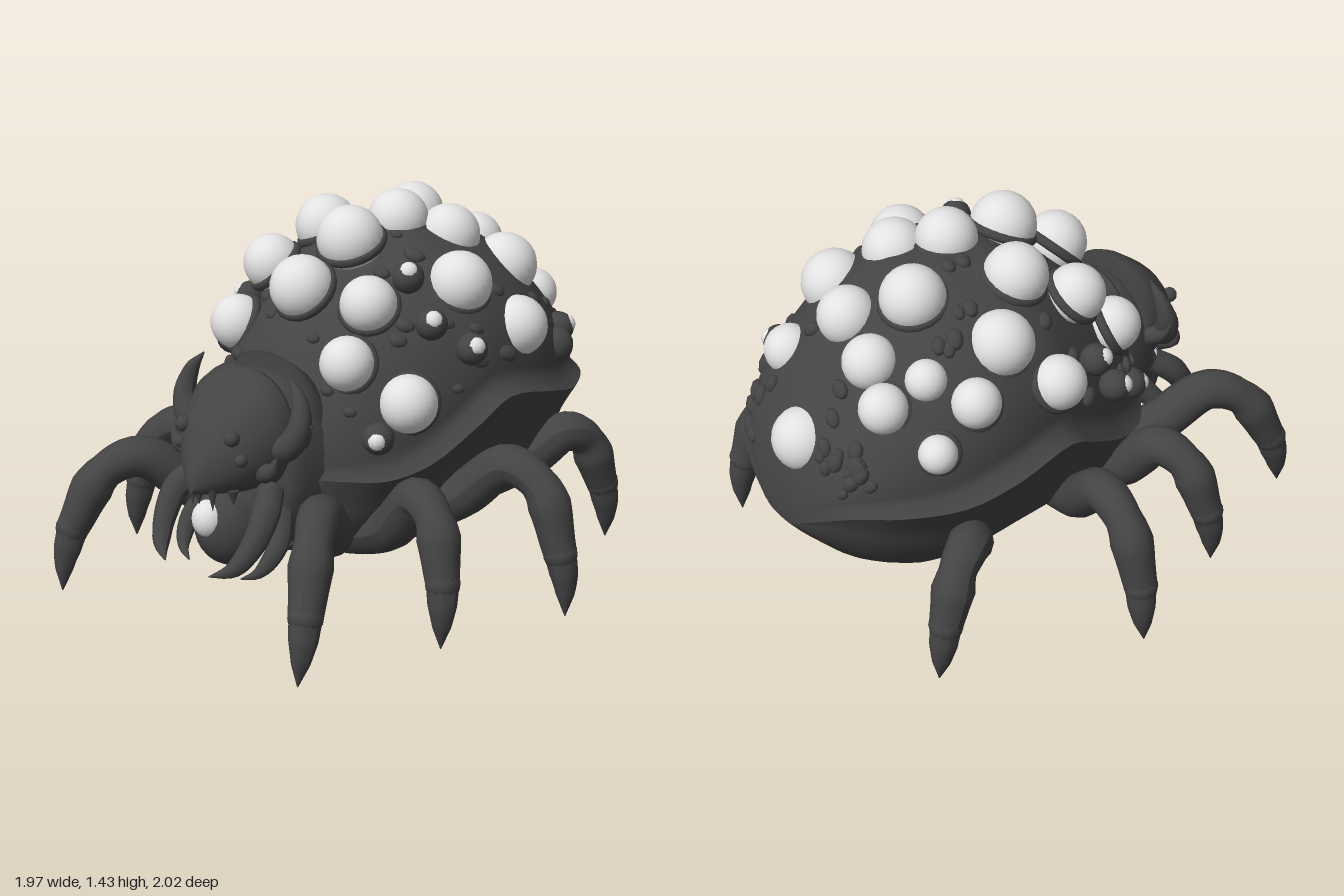
import * as THREE from 'three';

const dark = new THREE.MeshStandardMaterial({ color: 0x444444 });
dark.name = 'charcoal hide';
const pale = new THREE.MeshStandardMaterial({ color: 0xe2e2e2 });
pale.name = 'pale egg';
const V = (x, y, z) => new THREE.Vector3(x, y, z);

function add(parent, name, geometry, material = dark) {
  const mesh = new THREE.Mesh(geometry, material);
  mesh.name = name;
  parent.add(mesh);
  return mesh;
}

// Skin over rows of points running from +z to -z, each counter-clockwise from the front.
// Both ends close on the point midway between the row's first and last points.
function loft(rows) {
  const cap = row => row.map(() => row[0].clone().add(row[row.length - 1]).multiplyScalar(0.5));
  const all = [cap(rows[0]), ...rows, cap(rows[rows.length - 1])];
  const n = all[0].length, index = [];
  for (let i = 0; i < all.length - 1; i++) {
    for (let j = 0; j < n - 1; j++) {
      const a = i * n + j, c = a + n;
      index.push(a, c, a + 1, a + 1, c, c + 1);
    }
  }
  const g = new THREE.BufferGeometry().setFromPoints(all.flat());
  g.setIndex(index);
  g.computeVertexNormals();
  return g;
}

// Tube along a smooth path whose radius follows a list of values
function taper(points, radii, segments = 24, sides = 12) {
  const curve = new THREE.CatmullRomCurve3(points.map(p => V(...p)));
  const g = new THREE.TubeGeometry(curve, segments, 1, sides);
  const pos = g.attributes.position, v = V(0, 0, 0);
  for (let i = 0; i <= segments; i++) {
    const c = curve.getPointAt(i / segments);
    const t = i / segments * (radii.length - 1), k = Math.min(Math.floor(t), radii.length - 2);
    const r = THREE.MathUtils.lerp(radii[k], radii[k + 1], t - k);
    for (let j = 0; j <= sides; j++) {
      const m = i * (sides + 1) + j;
      v.fromBufferAttribute(pos, m).sub(c).multiplyScalar(r).add(c);
      pos.setXYZ(m, v.x, v.y, v.z);
    }
  }
  g.computeVertexNormals();
  return g;
}

// Abdomen stations: z, half width, rim height, top height, bottom height
const stations = [
  [0.50, 0.26, 0.53, 0.76, 0.20], [0.45, 0.34, 0.53, 0.86, 0.18], [0.35, 0.45, 0.53, 1.02, 0.16],
  [0.20, 0.53, 0.57, 1.15, 0.13], [0.00, 0.59, 0.68, 1.28, 0.12], [-0.15, 0.62, 0.76, 1.33, 0.11],
  [-0.40, 0.63, 0.72, 1.31, 0.12], [-0.60, 0.58, 0.67, 1.20, 0.15], [-0.80, 0.47, 0.66, 1.01, 0.26],
  [-0.92, 0.34, 0.64, 0.84, 0.38], [-0.98, 0.20, 0.57, 0.68, 0.45], [-1.00, 0.10, 0.51, 0.56, 0.48],
];
const axis = new THREE.CatmullRomCurve3(stations.map(s => V(s[0], s[1], s[2])));
const heights = new THREE.CatmullRomCurve3(stations.map(s => V(s[3], s[4], 0)));
const station = u => {
  const p = axis.getPoint(u), q = heights.getPoint(u);
  return { z: Math.max(p.x, -1), w: p.y, rim: p.z, top: q.x, low: q.y };
};
const shellPoint = (s, a) =>
  V(0.89 * s.w * Math.cos(a), s.rim + 0.03 + (s.top - s.rim - 0.03) * Math.sin(a), s.z);

function buildBody(body) {
  const shell = [], belly = [], rings = 44;
  const side = [[1, 1], [0.86, 0.74], [0.77, 0.5], [0.6, 0.25], [0.33, 0.06], [0, 0]];
  const profile = new THREE.SplineCurve(
    [...side.map(p => [-p[0], p[1]]), ...side.slice(0, -1).reverse()].map(p => new THREE.Vector2(...p))).getPoints(30);
  for (let i = 0; i <= rings; i++) {
    const s = station(i / rings), row = [V(s.w, s.rim, s.z)];
    for (let k = 0; k <= 32; k++) row.push(shellPoint(s, k / 32 * Math.PI));
    row.push(V(-s.w, s.rim, s.z));
    shell.push(row);
    belly.push(profile.map(p => V(p.x * s.w, s.low + p.y * (s.rim - s.low), s.z)));
  }
  add(body, 'shell', loft(shell));
  add(body, 'belly', loft(belly));
}

// Eggs: x, y, z, radius
const eggs = [
  [-0.01, 0.79, -0.885, 0.12], [-0.28, 1.00, -0.73, 0.09], [-0.48, 0.88, -0.65, 0.07], [-0.14, 1.10, -0.68, 0.10],
  [-0.33, 1.08, -0.58, 0.075], [0.07, 1.16, -0.62, 0.11], [0.27, 0.96, -0.74, 0.095],
  [-0.12, 1.27, -0.47, 0.12], [0.31, 1.13, -0.50, 0.125], [-0.47, 1.01, -0.47, 0.09], [-0.39, 1.14, -0.29, 0.12],
  [0.18, 1.26, -0.32, 0.12], [0.49, 0.96, -0.35, 0.115]].concat([
  [-0.53, 0.98, -0.14, 0.10], [0.04, 1.325, -0.19, 0.115], [-0.24, 1.27, -0.10, 0.12],
  [0.38, 1.15, -0.14, 0.12], [0.02, 1.295, 0.06, 0.125], [-0.33, 1.15, 0.11, 0.11], [-0.02, 1.15, 0.28, 0.12],
  [0.24, 1.12, 0.21, 0.105], [-0.35, 0.95, 0.28, 0.105], [0.26, 0.935, 0.35, 0.10], [0.44, 0.79, 0.22, 0.107]]);
// Half-closed pods with a small egg inside
const pods = [
  [0.42, 1.05, 0.07], [0.52, 0.95, -0.04], [0.30, 1.20, 0.06], [0.40, 0.68, 0.34],
  [-0.50, 0.97, 0.06], [-0.51, 0.82, 0.15], [-0.40, 0.68, 0.34], [0.45, 0.87, -0.67],
];
const heart = V(0, 0.62, -0.25);
const outward = p => p.clone().sub(heart).normalize();

function buildEggs(body) {
  for (const [x, y, z, r] of eggs) {
    const p = V(x, y, z), n = outward(p);
    add(body, 'egg', new THREE.SphereGeometry(r, 24, 16), pale).position.copy(p);
    const socket = add(body, 'eggSocket', new THREE.TorusGeometry(r * 0.94, 0.02, 8, 20));
    socket.position.copy(p).addScaledVector(n, -0.022);
    socket.quaternion.setFromUnitVectors(V(0, 0, 1), n);
  }
  for (const c of pods) {
    const p = V(...c), n = outward(p);
    add(body, 'pod', new THREE.SphereGeometry(0.06, 14, 10)).position.copy(p);
    add(body, 'podEgg', new THREE.SphereGeometry(0.037, 12, 8), pale).position.copy(p).addScaledVector(n, 0.031);
  }
  add(body, 'closedPod', new THREE.SphereGeometry(0.07, 16, 12)).position.set(0.48, 0.82, -0.61);

  // Warts scattered between the eggs
  let seed = 7;
  const rand = () => (seed = (seed * 16807) % 2147483647) / 2147483647;
  for (let i = 0; i < 130; i++) {
    const p = shellPoint(station(0.12 + 0.74 * rand()), Math.PI * (0.06 + 0.88 * rand()));
    const size = 0.02 + 0.016 * rand();
    if (eggs.some(e => p.distanceTo(V(e[0], e[1], e[2])) < e[3] + size)) continue;
    const wart = add(body, 'wart', new THREE.SphereGeometry(size, 8, 6));
    wart.position.copy(p);
    wart.quaternion.setFromUnitVectors(V(0, 0, 1), outward(p));
    wart.scale.set(1.3, 0.9, 0.7);
  }
}

// Rounded section rows for the head: z, half width, top, bottom
const ovals = list => loft(list.map(([z, w, top, low]) => Array.from({ length: 29 }, (_, k) => {
  const a = -Math.PI / 2 + k / 28 * Math.PI * 2, c = Math.cos(a);
  return V(w * Math.sign(c) * Math.abs(c) ** 0.8, (top + low) / 2 + (top - low) / 2 * Math.sin(a), z);
})));

function buildHead(head) {
  add(head, 'neck', ovals([[0.62, 0.22, 0.86, 0.30], [0.56, 0.25, 0.89, 0.25], [0.48, 0.265, 0.90, 0.22], [0.38, 0.28, 0.86, 0.18]]));
  add(head, 'collar', ovals([[0.50, 0.22, 0.94, 0.45], [0.48, 0.23, 0.955, 0.45], [0.42, 0.25, 0.91, 0.40]]));
  add(head, 'headShield', ovals([[0.89, 0.02, 0.60, 0.53], [0.86, 0.065, 0.68, 0.52], [0.81, 0.13, 0.77, 0.51],
    [0.75, 0.185, 0.85, 0.50], [0.67, 0.225, 0.91, 0.49], [0.61, 0.235, 0.935, 0.48], [0.58, 0.22, 0.92, 0.48]]));
  const jaw = add(head, 'lowerJaw', new THREE.SphereGeometry(1, 24, 16));
  jaw.position.set(0, 0.36, 0.69);
  jaw.scale.set(0.135, 0.16, 0.14);
  add(head, 'jawHinge', new THREE.SphereGeometry(0.18, 20, 14)).position.set(0, 0.43, 0.6);
  const bead = add(head, 'mouthEgg', new THREE.SphereGeometry(0.065, 18, 12), pale);
  bead.position.set(-0.01, 0.40, 0.79);
  bead.scale.y = 1.1;
  // Fangs hanging below the shield
  for (let i = -2; i <= 2; i++) {
    const fang = add(head, 'fang', new THREE.ConeGeometry(0.022, i % 2 ? 0.10 : 0.06, 8));
    fang.position.set(i * 0.05, 0.505, 0.85 - 0.018 * i * i);
    fang.rotation.x = Math.PI;
  }
  for (const s of [1, -1]) {
    add(head, 'eye', new THREE.SphereGeometry(0.03, 12, 8)).position.set(s * 0.12, 0.74, 0.80);
    add(head, 'cheekEye', new THREE.SphereGeometry(0.024, 12, 8)).position.set(s * 0.15, 0.66, 0.785);
    add(head, 'horn', taper([[s * 0.17, 0.68, 0.64], [s * 0.24, 0.69, 0.65], [s * 0.285, 0.77, 0.63], [s * 0.27, 0.86, 0.61], [s * 0.21, 0.94, 0.60]],
      [0.045, 0.05, 0.042, 0.028, 0.002], 18));
    add(head, 'cheekSpike', taper([[s * 0.2, 0.68, 0.6], [s * 0.28, 0.72, 0.61], [s * 0.33, 0.79, 0.61]], [0.045, 0.03, 0.002], 8));
    add(head, 'browSpike', taper([[s * 0.18, 0.60, 0.7], [s * 0.23, 0.62, 0.72], [s * 0.26, 0.68, 0.72]], [0.04, 0.028, 0.002], 8));
    add(head, 'mandible', taper([[s * 0.17, 0.52, 0.66], [s * 0.22, 0.46, 0.74], [s * 0.22, 0.36, 0.81], [s * 0.18, 0.28, 0.87], [s * 0.11, 0.25, 0.92]],
      [0.05, 0.052, 0.045, 0.034, 0.002], 18));
    add(head, 'innerMandible', taper([[s * 0.16, 0.42, 0.6], [s * 0.22, 0.32, 0.68], [s * 0.19, 0.23, 0.75], [s * 0.13, 0.20, 0.78]],
      [0.05, 0.042, 0.03, 0.002], 14));
  }
}

// Leg paths on the left side: hip to ankle, then claw tip
const legs = [
  { name: 'frontLeg', path: [[0.15, 0.26, 0.36], [0.33, 0.35, 0.52], [0.45, 0.505, 0.71], [0.53, 0.45, 0.83], [0.59, 0.25, 0.935]], tip: [0.60, 0.01, 0.99] },
  { name: 'secondLeg', path: [[0.17, 0.22, 0.24], [0.42, 0.33, 0.29], [0.58, 0.495, 0.33], [0.69, 0.45, 0.37], [0.765, 0.25, 0.415]], tip: [0.78, 0.01, 0.44] },
  { name: 'thirdLeg', path: [[0.22, 0.22, 0.10], [0.50, 0.38, -0.01], [0.69, 0.54, -0.055], [0.83, 0.48, -0.07], [0.92, 0.25, -0.07]], tip: [0.95, 0.01, -0.07] },
  { name: 'rearLeg', path: [[0.27, 0.26, -0.38], [0.45, 0.38, -0.49], [0.56, 0.49, -0.58], [0.60, 0.45, -0.66], [0.63, 0.25, -0.745]], tip: [0.63, 0.01, -0.78] },
];

function buildLeg(parent, { name, path, tip }, s) {
  const leg = new THREE.Group();
  leg.name = name + (s > 0 ? 'Left' : 'Right');
  parent.add(leg);
  const m = p => [p[0] * s, p[1], p[2]];
  const ankle = path[4], mid = ankle.map((a, i) => a + (tip[i] - a) * 0.45 + (i === 1 ? 0 : 0.006 * Math.sign(a)));
  add(leg, 'limb', taper(path.map(m), [0.08, 0.085, 0.085, 0.085, 0.086, 0.084, 0.08, 0.075, 0.068, 0.08, 0.07, 0.062], 33, 14));
  add(leg, 'ankle', new THREE.SphereGeometry(0.064, 14, 10)).position.set(...m(ankle));
  add(leg, 'claw', taper([ankle, mid, tip].map(m), [0.06, 0.053, 0.034, 0.002], 12));
}

export function createModel() {
  const model = new THREE.Group();
  model.name = 'broodSpider';
  const body = new THREE.Group(), head = new THREE.Group();
  body.name = 'abdomen';
  head.name = 'head';
  model.add(body, head);
  buildBody(body);
  buildEggs(body);
  buildHead(head);
  for (const leg of legs) for (const s of [1, -1]) buildLeg(model, leg, s);
  return model;
}
